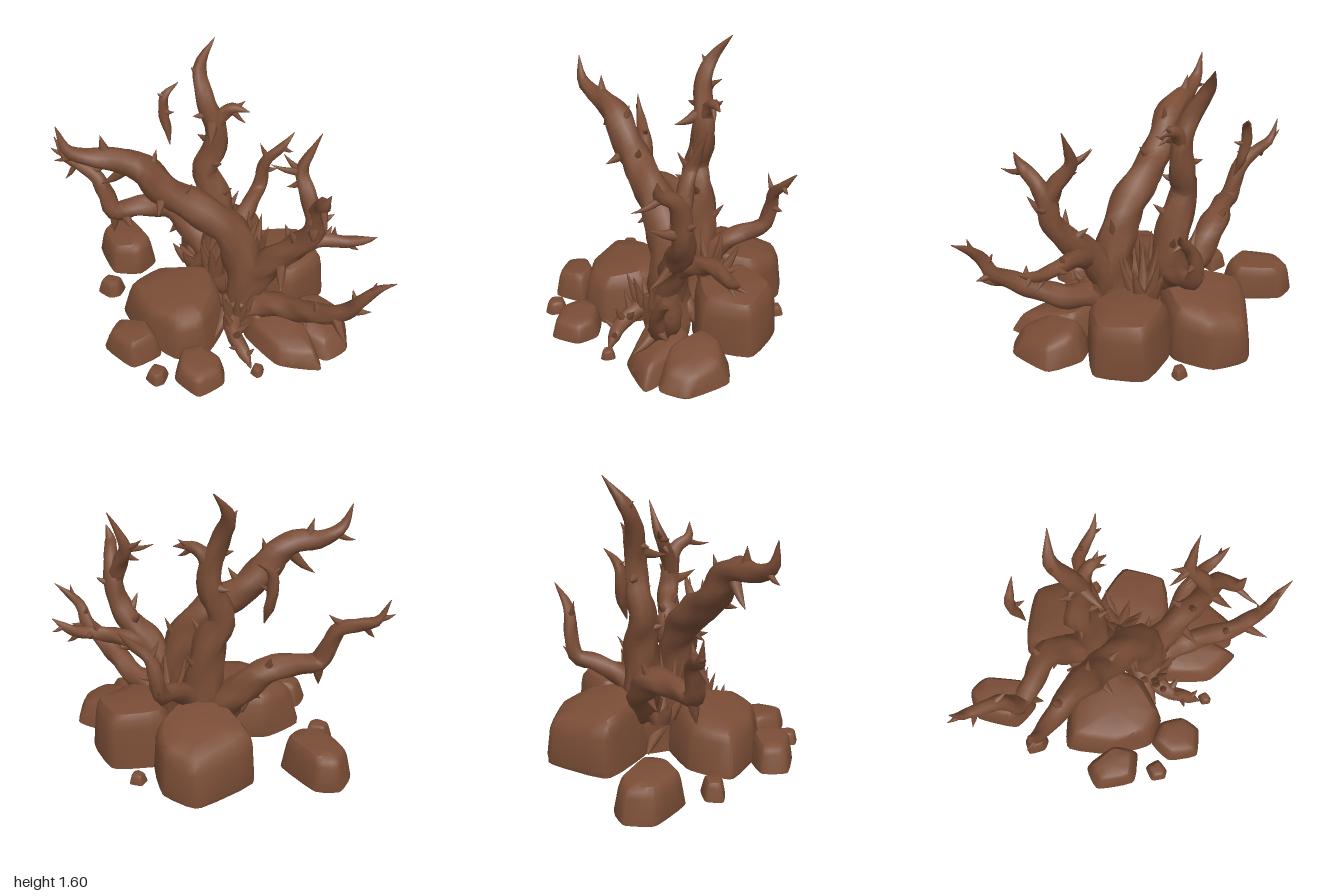
import * as THREE from 'three';
import { mergeVertices, toCreasedNormals } from 'three/addons/utils/BufferGeometryUtils.js';

const brown = new THREE.MeshStandardMaterial({ color: 0x7a4d36 });
brown.name = 'earthy brown';

let seed = 7;
const rand = () => (seed = (seed * 16807) % 2147483647) / 2147483647;
const V = (x, y, z) => new THREE.Vector3(x, y, z);

function smooth(geo) {
  geo.deleteAttribute('uv');
  geo.deleteAttribute('normal');
  const g = mergeVertices(geo, 1e-5);
  g.computeVertexNormals();
  return g;
}

function addMesh(parent, geo, name) {
  const mesh = new THREE.Mesh(geo, brown);
  mesh.name = name;
  parent.add(mesh);
}

// Tapering limb through points of [x, y, z, radius]
function limb(parent, name, pts, sides = 9, knobbly = 0.1) {
  const curve = new THREE.CatmullRomCurve3(pts.map(p => V(p[0], p[1], p[2])));
  const n = (pts.length - 1) * 4;
  const geo = new THREE.TubeGeometry(curve, n, 1, sides);
  const pos = geo.attributes.position, v = V(0, 0, 0);
  for (let i = 0; i <= n; i++) {
    const c = curve.getPointAt(i / n);
    const k = curve.getUtoTmapping(i / n) * (pts.length - 1);
    const a = Math.min(Math.floor(k), pts.length - 2);
    const r = THREE.MathUtils.lerp(pts[a][3], pts[a + 1][3], k - a);
    for (let j = 0; j <= sides; j++) {
      const id = i * (sides + 1) + j;
      const bump = 1 + knobbly * Math.sin((j % sides) * 2.1 + i * 0.9);
      v.fromBufferAttribute(pos, id).sub(c).multiplyScalar(r * bump).add(c);
      pos.setXYZ(id, v.x, v.y, v.z);
    }
  }
  addMesh(parent, smooth(geo), name);
  return curve;
}

// Slightly hooked thorn
function thorn(parent, base, tip, r) {
  const mid = base.clone().lerp(tip, 0.55);
  mid.y -= base.distanceTo(tip) * 0.07;
  limb(parent, 'thorn', [[...base.toArray(), r], [...mid.toArray(), r * 0.55], [...tip.toArray(), 0.001]], 6, 0);
}

// Limb with thorns given as [point index, tip x, tip y, tip z]
function branch(root, name, pts, thorns = []) {
  const g = new THREE.Group();
  g.name = name;
  root.add(g);
  const curve = limb(g, 'limb', pts);
  for (const [k, x, y, z] of thorns) {
    const r = pts[Math.round(k)][3];
    thorn(g, curve.getPoint(k / (pts.length - 1)), V(x, y, z), Math.max(0.02, Math.min(0.042, r * 0.7)));
  }
}

// Boulder from a ground outline: clipped corners, sides tapering inwards, tilted top
function rock(root, h, outline, tx = 0, tz = 0, taper = 0.08) {
  let ring = outline;
  for (const cut of [0.12, 0.25]) {
    ring = ring.flatMap((p, i) => {
      const q = ring[(i + 1) % ring.length];
      return [cut, 1 - cut].map(t => [p[0] + (q[0] - p[0]) * t, p[1] + (q[1] - p[1]) * t]);
    });
  }
  const n = ring.length;
  const cx = ring.reduce((s, p) => s + p[0], 0) / n, cz = ring.reduce((s, p) => s + p[1], 0) / n;
  const levels = [[0, 0], [0.98, 0], [1, 0.1], [0.99, 0.7], [0.95, 0.87], [0.85, 0.97], [0.5, 1.01], [0, 1.02]];
  const pos = [], idx = [];
  levels.forEach(([s, y], l) => ring.forEach(([x, z], j) => {
    const dent = 1 + (l > 1 && l < 7 ? 0.02 * Math.sin(j * 0.9 + l) : 0);
    const dx = (x - cx) * s * (1 - taper * y), dz = (z - cz) * s * (1 - taper * y);
    pos.push(cx + dx * dent, y * h * (1 + tx * dx + tz * dz), cz + dz * dent);
    if (l === 0) return;
    const a = (l - 1) * n + j, b = (l - 1) * n + (j + 1) % n;
    if (l > 1) idx.push(a, a + n, b);
    if (l < levels.length - 1) idx.push(b, a + n, b + n);
  }));
  const geo = new THREE.BufferGeometry();
  geo.setAttribute('position', new THREE.Float32BufferAttribute(pos, 3));
  geo.setIndex(idx);
  addMesh(root, toCreasedNormals(geo, 0.7), 'rock');
}

// Fan of upright splinters around a point
function splinters(root, x, y, z, count, spread, height) {
  const g = new THREE.Group();
  g.name = 'splinters';
  root.add(g);
  for (let i = 0; i < count; i++) {
    const a = i / count * Math.PI * 2 + rand(), d = spread * (0.5 + 0.5 * rand());
    const c = Math.cos(a) * d, s = Math.sin(a) * d;
    thorn(g, V(x + c * 0.35, y, z + s * 0.35), V(x + c, y + height * (0.55 + 0.45 * rand()), z + s), 0.04);
  }
}

export function createModel() {
  const root = new THREE.Group();
  root.name = 'thorny dead tree on rocks';

  // Main trunks
  branch(root, 'frontTrunk', [
    [0.2, 0.01, 0.1, 0.14], [0.2, 0.2, 0.1, 0.12], [0.18, 0.42, 0.09, 0.11], [0.11, 0.63, 0.09, 0.105],
    [-0.03, 0.78, 0.1, 0.1], [-0.2, 0.89, 0.12, 0.088], [-0.3, 0.99, 0.14, 0.088], [-0.37, 1.09, 0.16, 0.082],
    [-0.48, 1.15, 0.18, 0.065], [-0.62, 1.165, 0.21, 0.05], [-0.73, 1.22, 0.24, 0.034], [-0.78, 1.36, 0.24, 0.002]],
    [[2.4, 0.25, 0.72, 0.04], [7.5, -0.59, 0.97, 0.17], [8.4, -0.57, 1.29, 0.18], [9.6, -0.81, 1.15, 0.24],
      [6.5, -0.29, 1.19, 0.12], [5, -0.1, 1.0, 0.14], [5.6, -0.26, 0.87, 0.28], [3.5, 0.0, 0.6, 0.2]]);
  branch(root, 'backTrunk', [
    [0.03, 0.01, -0.12, 0.15], [0.01, 0.3, -0.16, 0.125], [0.0, 0.5, -0.18, 0.105], [-0.03, 0.7, -0.19, 0.092],
    [-0.09, 0.85, -0.2, 0.075], [-0.04, 0.99, -0.22, 0.07], [-0.03, 1.14, -0.22, 0.062], [-0.09, 1.31, -0.24, 0.05],
    [-0.13, 1.45, -0.31, 0.038], [-0.06, 1.59, -0.4, 0.002]],
    [[7.8, -0.17, 1.47, -0.27], [6.3, -0.03, 1.14, -0.04], [6.5, -0.15, 1.22, -0.18], [4.5, 0.02, 0.96, -0.12],
      [5.4, -0.14, 1.04, -0.28], [3, 0.08, 0.8, -0.12], [3.4, -0.15, 0.78, -0.1], [2, 0.1, 0.66, -0.29]]);
  branch(root, 'backTrunkFork', [
    [-0.04, 1.12, -0.22, 0.05], [0.01, 1.22, -0.23, 0.04], [0.07, 1.26, -0.23, 0.03], [0.16, 1.25, -0.22, 0.002]],
    [[2, 0.13, 1.3, -0.25], [1.8, 0.14, 1.19, -0.2]]);

  // Limbs on the -x side
  branch(root, 'rightLimb', [
    [-0.04, 0.25, -0.17, 0.1], [-0.18, 0.41, -0.23, 0.088], [-0.31, 0.54, -0.24, 0.08], [-0.48, 0.57, -0.17, 0.062],
    [-0.62, 0.56, -0.12, 0.055], [-0.67, 0.67, -0.13, 0.05], [-0.72, 0.78, -0.15, 0.043], [-0.83, 0.83, -0.18, 0.035],
    [-0.91, 0.86, -0.2, 0.027], [-0.97, 0.99, -0.21, 0.002]],
    [[4, -0.63, 0.41, -0.1], [2.2, -0.36, 0.67, -0.3], [3.6, -0.5, 0.48, -0.06], [6.4, -0.66, 0.86, -0.14],
      [7.2, -0.91, 0.74, -0.15], [8.2, -1.0, 0.91, -0.21], [1.4, -0.31, 0.36, -0.2]]);
  branch(root, 'looseBranch', [
    [-0.32, 0.9, -0.36, 0.002], [-0.34, 1.0, -0.39, 0.027], [-0.36, 1.1, -0.4, 0.03],
    [-0.35, 1.2, -0.41, 0.026], [-0.28, 1.265, -0.46, 0.002]],
    [[3, -0.39, 1.22, -0.39], [2, -0.29, 1.12, -0.37]]);

  // Limbs on the +x side
  branch(root, 'leftUpperLimb', [
    [0.2, 0.2, 0.1, 0.09], [0.28, 0.4, 0.11, 0.085], [0.36, 0.53, 0.13, 0.078], [0.47, 0.64, 0.15, 0.07],
    [0.55, 0.77, 0.18, 0.062], [0.57, 0.92, 0.2, 0.055], [0.59, 1.02, 0.25, 0.042], [0.6, 1.07, 0.33, 0.034], [0.63, 1.16, 0.35, 0.002]],
    [[6.7, 0.62, 1.02, 0.48], [3.2, 0.43, 0.8, 0.2], [4.6, 0.66, 0.9, 0.16], [4.3, 0.56, 0.87, 0.36],
      [2.3, 0.41, 0.43, 0.3], [3, 0.4, 0.72, 0.06]]);
  branch(root, 'leftUpperFork', [
    [0.56, 0.87, 0.2, 0.05], [0.52, 1.0, 0.16, 0.045], [0.47, 1.11, 0.1, 0.036], [0.5, 1.2, 0.08, 0.024], [0.56, 1.33, 0.06, 0.002]],
    [[2, 0.31, 1.14, 0.1], [1.6, 0.4, 1.03, 0.13], [2, 0.37, 1.18, 0.05]]);
  branch(root, 'leftSideLimb', [
    [0.38, 0.5, 0.11, 0.06], [0.5, 0.57, 0.06, 0.05], [0.62, 0.61, 0.03, 0.042], [0.75, 0.61, 0.03, 0.035],
    [0.84, 0.64, 0.04, 0.024], [0.91, 0.68, 0.05, 0.002]],
    [[2, 0.66, 0.69, 0.0], [3, 0.82, 0.55, 0.02], [4, 0.9, 0.62, 0.0], [2.4, 0.68, 0.63, -0.07]]);
  branch(root, 'leftLowerLimb', [
    [0.18, 0.15, 0.14, 0.09], [0.32, 0.2, 0.16, 0.075], [0.47, 0.24, 0.22, 0.068], [0.6, 0.32, 0.32, 0.06],
    [0.71, 0.4, 0.39, 0.052], [0.79, 0.47, 0.42, 0.043], [0.84, 0.58, 0.45, 0.034], [0.91, 0.66, 0.45, 0.022], [1.0, 0.725, 0.46, 0.002]],
    [[3.3, 0.6, 0.45, 0.36], [4, 0.78, 0.35, 0.55], [5, 0.9, 0.47, 0.42], [6.6, 0.9, 0.72, 0.46],
      [2.4, 0.57, 0.23, 0.35], [5.5, 0.79, 0.6, 0.4]]);

  // Limb reaching to the back
  branch(root, 'backLimb', [
    [0.04, 0.3, -0.17, 0.08], [0.11, 0.42, -0.28, 0.06], [0.16, 0.49, -0.4, 0.05], [0.2, 0.53, -0.5, 0.045],
    [0.22, 0.66, -0.53, 0.04], [0.25, 0.75, -0.52, 0.034], [0.33, 0.83, -0.53, 0.026], [0.4, 0.92, -0.57, 0.002]],
    [[4, 0.31, 0.66, -0.55], [5, 0.2, 0.86, -0.51], [6, 0.4, 0.81, -0.52], [3, 0.2, 0.6, -0.58]]);

  // Roots at the foot
  branch(root, 'frontRoot', [
    [0.17, 0.15, 0.12, 0.08], [0.14, 0.14, 0.24, 0.055], [0.17, 0.1, 0.36, 0.045], [0.24, 0.06, 0.45, 0.035], [0.28, 0.01, 0.5, 0.004]],
    [[1.5, 0.1, 0.27, 0.33], [2, 0.2, 0.22, 0.42], [2.5, 0.15, 0.14, 0.48], [3, 0.29, 0.13, 0.46], [1.8, 0.25, 0.2, 0.33]]);
  for (const [x, z] of [[0.38, 0.28], [0.05, 0.33], [0.36, -0.04], [-0.2, -0.22]])
    limb(root, 'root', [[0.15, 0.2, 0.05, 0.08], [(0.15 + x) / 2, 0.13, (0.05 + z) / 2, 0.06], [x, 0.05, z, 0.006]]);

  // Splintered wood around the trunks
  splinters(root, -0.01, 0.25, -0.03, 10, 0.11, 0.3);
  splinters(root, 0.16, 0.12, 0.19, 12, 0.16, 0.25);
  splinters(root, 0.2, 0.28, -0.16, 9, 0.17, 0.3);
  splinters(root, -0.14, 0.24, -0.12, 6, 0.15, 0.18);

  // Large boulders
  rock(root, 0.33, [[-0.01, -0.76], [0.19, -0.65], [0.27, -0.42], [0.1, -0.14], [-0.1, -0.17], [-0.33, -0.48]], 0, 0.75);
  rock(root, 0.33, [[0.5, -0.45], [0.67, -0.19], [0.46, 0.05], [0.2, -0.03], [0.17, -0.38]], -0.15, -0.15, 0.1);
  rock(root, 0.2, [[-0.62, -0.55], [-0.42, -0.32], [-0.5, -0.18], [-0.68, -0.16], [-0.83, -0.39], [-0.76, -0.54]], 0.3, 0, 0.18);
  rock(root, 0.28, [[-0.36, -0.05], [0, -0.07], [0.1, 0.2], [0.03, 0.43], [-0.15, 0.5], [-0.36, 0.38], [-0.56, 0.14]], 0.35, -0.3, 0.16);

  // Low boulders
  rock(root, 0.155, [[-0.54, 0.31], [-0.32, 0.33], [-0.23, 0.47], [-0.38, 0.6], [-0.59, 0.46]], 0.8, 0, 0.24);
  rock(root, 0.115, [[-0.02, 0.42], [0.13, 0.5], [0.15, 0.63], [0.02, 0.75], [-0.14, 0.64], [-0.14, 0.48]], -0.6, -0.6, 0.2);
  rock(root, 0.145, [[0.6, -0.07], [0.8, 0.01], [0.82, 0.28], [0.7, 0.39], [0.5, 0.3], [0.46, 0]], -1.8, -1, 0.28);
  rock(root, 0.14, [[0.18, 0.06], [0.5, 0.06], [0.63, 0.28], [0.69, 0.46], [0.42, 0.46], [0.2, 0.25]], 0.3, -1.6, 0.25);

  // Pebbles
  for (const [x, z, w, d, h] of [[-0.655, -0.01, 0.085, 0.07, 0.1], [-0.235, 0.635, 0.065, 0.07, 0.07],
    [0.315, 0.515, 0.04, 0.045, 0.05], [0.33, -0.53, 0.05, 0.045, 0.055]])
    rock(root, h, [[x - w * 0.5, z - d], [x + w, z - d * 0.7], [x + w * 0.8, z + d * 0.6], [x + w * 0.1, z + d], [x - w, z + d * 0.3]], 0, 0, 0.3);

  return root;
}
